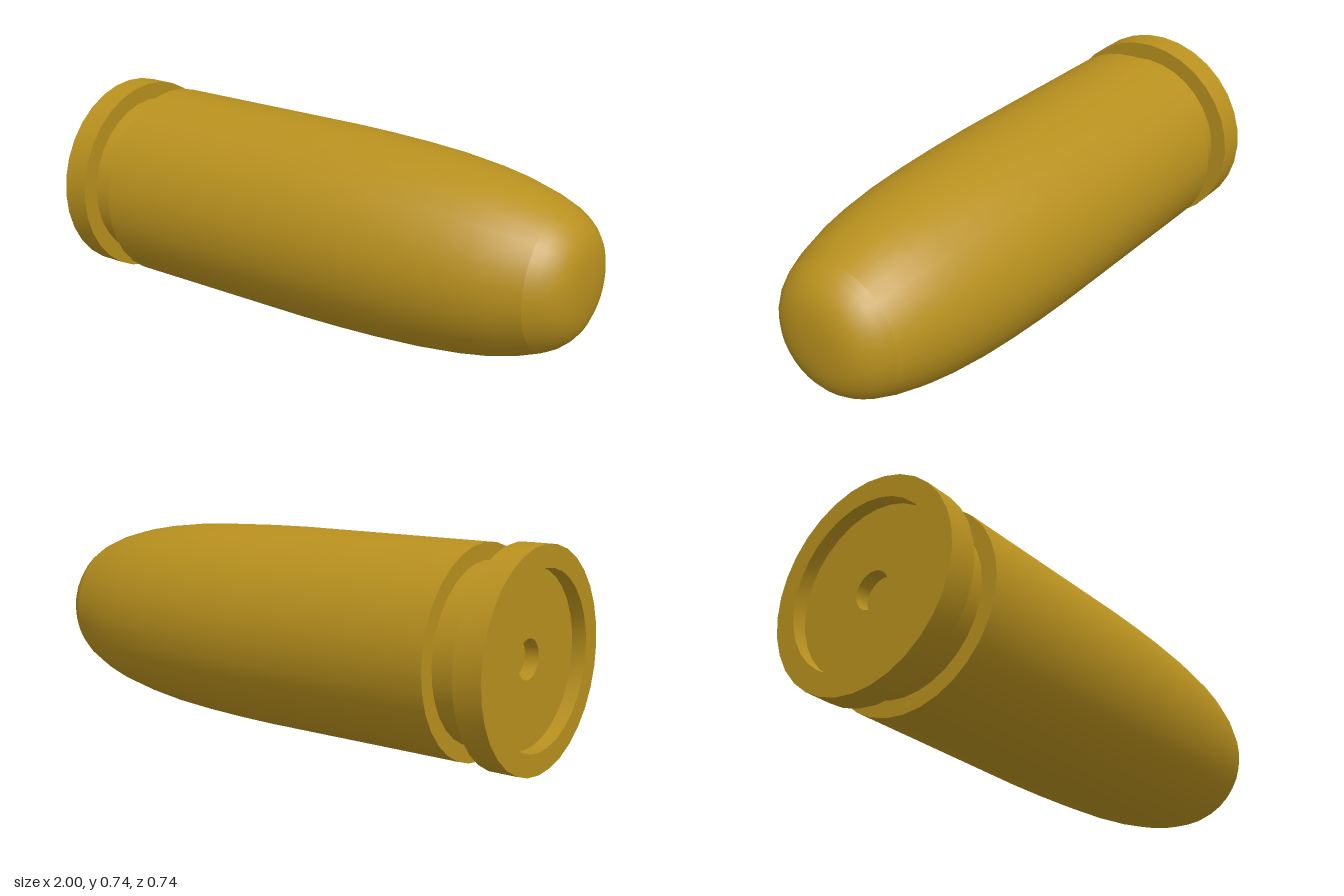
import * as THREE from 'three';
import { toCreasedNormals } from 'three/addons/utils/BufferGeometryUtils.js';

const SIDES = 32;
const AXIS_HEIGHT = 0.372;

export function createModel() {
  const group = new THREE.Group();
  group.name = 'cartridge';
  const brass = new THREE.MeshStandardMaterial({ color: 0xb8901e });

  // Revolves a profile of [x, radius] pairs around the long x axis
  const addTurned = (name, profile) => {
    const points = profile.map(([x, r]) => new THREE.Vector2(r, x));
    const turned = new THREE.LatheGeometry(points, SIDES).rotateZ(-Math.PI / 2);
    const mesh = new THREE.Mesh(toCreasedNormals(turned, Math.PI / 6), brass);
    mesh.name = name;
    mesh.position.y = AXIS_HEIGHT;
    group.add(mesh);
  };

  // Base: central pit, recessed face, rim and extractor groove
  addTurned('baseRim', [
    [-0.9, 0], [-0.9, 0.067], [-0.95, 0.067], [-0.95, 0.295],
    [-1, 0.295], [-1, 0.37], [-0.9, 0.37], [-0.9, 0.308],
  ]);
  addTurned('groove', [[-0.9, 0.308], [-0.785, 0.303]]);

  // Body: straight wall easing into the tapered shoulder
  addTurned('body', [
    [-0.785, 0.303], [-0.785, 0.361], [0, 0.361], [0.15, 0.358], [0.3, 0.352],
    [0.45, 0.342], [0.6, 0.324], [0.7, 0.306], [0.8, 0.279], [0.88, 0.248],
  ]);

  // Blunt rounded tip
  addTurned('tip', [
    [0.88, 0.248], [0.915, 0.228], [0.945, 0.203], [0.968, 0.174],
    [0.983, 0.142], [0.993, 0.1], [0.998, 0.05], [1, 0],
  ]);

  return group;
}
